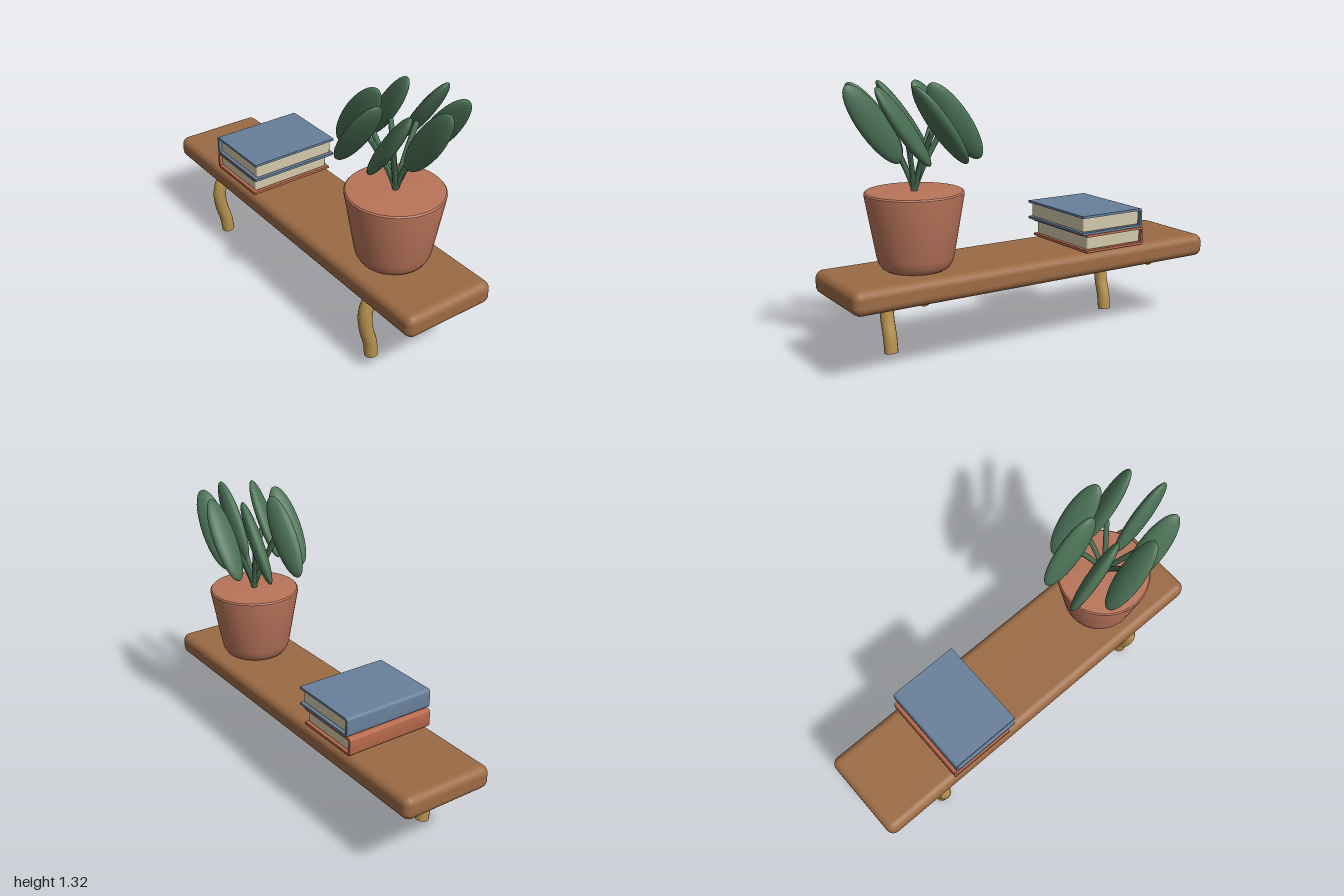
import * as THREE from 'three';
import { toCreasedNormals } from 'three/addons/utils/BufferGeometryUtils.js';
import { RoundedBoxGeometry } from 'three/addons/geometries/RoundedBoxGeometry.js';

const paint = (color) => new THREE.MeshStandardMaterial({ color });
const wood = paint(0x9c6b45), brass = paint(0xb8924f), clay = paint(0xb9745a);
const green = paint(0x4a7054), paper = paint(0xd2c8aa), red = paint(0xb86a4c), blue = paint(0x68809a);

function add(parent, name, geometry, material, x = 0, y = 0, z = 0) {
  const mesh = new THREE.Mesh(geometry, material);
  mesh.name = name;
  mesh.position.set(x, y, z);
  parent.add(mesh);
  return mesh;
}

// Bent rod that rises at the front and runs back through the board
function addBracket(parent, x) {
  const bracket = new THREE.Group();
  bracket.name = 'bracket';
  bracket.position.x = x;
  const curve = new THREE.CatmullRomCurve3([
    [0.005, 0.16], [0.08, 0.17], [0.17, 0.195], [0.26, 0.202], [0.33, 0.175],
    [0.385, 0.1], [0.4, 0], [0.385, -0.11], [0.37, -0.21],
  ].map(([y, z]) => new THREE.Vector3(0, y, z)));
  const r = 0.034;
  add(bracket, 'bracketRod', new THREE.TubeGeometry(curve, 40, r, 16), brass);
  for (const t of [0, 1]) {
    const p = curve.getPointAt(t);
    const cap = add(bracket, 'bracketCap', new THREE.CircleGeometry(r, 16), brass, p.x, p.y, p.z);
    const out = curve.getTangentAt(t).multiplyScalar(t ? 1 : -1);
    cap.quaternion.setFromUnitVectors(new THREE.Vector3(0, 0, 1), out);
  }
  parent.add(bracket);
}

// Book lying flat: C-shaped cover with a rounded spine at -x, and a page block
function addBook(parent, name, x0, x1, y0, y1, halfDepth, material) {
  const book = new THREE.Group();
  book.name = name;
  const t = 0.012, r = 0.015;
  const s = new THREE.Shape();
  s.moveTo(x1, y0);
  s.lineTo(x1, y0 + t);
  s.lineTo(x0 + t, y0 + t);
  s.lineTo(x0 + t, y1 - t);
  s.lineTo(x1, y1 - t);
  s.lineTo(x1, y1);
  s.lineTo(x0 + r, y1);
  s.quadraticCurveTo(x0, y1, x0, y1 - r);
  s.lineTo(x0, y0 + r);
  s.quadraticCurveTo(x0, y0, x0 + r, y0);
  s.closePath();
  const cover = new THREE.ExtrudeGeometry(s, { depth: halfDepth * 2, bevelEnabled: false, curveSegments: 5 });
  add(book, 'cover', toCreasedNormals(cover, 0.6), material, 0, 0, -halfDepth);
  const left = x0 + t, right = x1 - 0.012;
  add(book, 'pages', new RoundedBoxGeometry(right - left, y1 - y0 - 2 * t, halfDepth * 2 - 0.028, 3, 0.008),
    paper, (left + right) / 2, (y0 + y1) / 2, 0);
  parent.add(book);
}

// Tapered pot with a softened foot and a closed top, holding seven leaning leaves
function addPlant(parent, x) {
  const plant = new THREE.Group();
  plant.name = 'pottedPlant';
  plant.position.x = x;
  const profile = [
    [0, 0.462], [0.145, 0.462], [0.158, 0.47], [0.172, 0.492], [0.181, 0.52],
    [0.231, 0.808], [0.231, 0.818], [0.225, 0.825], [0.215, 0.826], [0, 0.826],
  ].map(([r, y]) => new THREE.Vector2(r, y));
  add(plant, 'pot', toCreasedNormals(new THREE.LatheGeometry(profile, 40), 0.7), clay);

  const count = 7;
  for (let i = 0; i < count; i++) {
    const a = (i / count) * Math.PI * 2;
    const at = (r, y) => new THREE.Vector3(r * Math.cos(a), y, -r * Math.sin(a));
    const path = new THREE.QuadraticBezierCurve3(at(0, 0.82), at(0.025, 0.92), at(0.13, 1.1));
    add(plant, 'stem', new THREE.TubeGeometry(path, 12, 0.013, 8), green);
    const tip = path.getPoint(1);
    add(plant, 'stemTip', new THREE.SphereGeometry(0.013, 8, 6), green, tip.x, tip.y, tip.z);

    const c = at(0.193, 1.14);
    const leaf = add(plant, 'leaf', new THREE.SphereGeometry(1, 24, 16), green, c.x, c.y, c.z);
    leaf.scale.set(0.07, 0.22, 0.035);
    leaf.rotation.set(0, a, -0.62, 'ZYX'); // spin about its length, then lean to +x
  }
  parent.add(plant);
}

export function createModel() {
  const model = new THREE.Group();
  model.name = 'shelfWithBooksAndPlant';
  add(model, 'board', new RoundedBoxGeometry(2, 0.115, 0.48, 5, 0.04), wood, 0, 0.4025, 0);
  for (const x of [-0.65, 0.65]) addBracket(model, x);
  addBook(model, 'lowerBook', -0.585, -0.23, 0.463, 0.553, 0.233, red);
  addBook(model, 'upperBook', -0.57, -0.2, 0.556, 0.652, 0.24, blue);
  addPlant(model, 0.587);
  return model;
}
